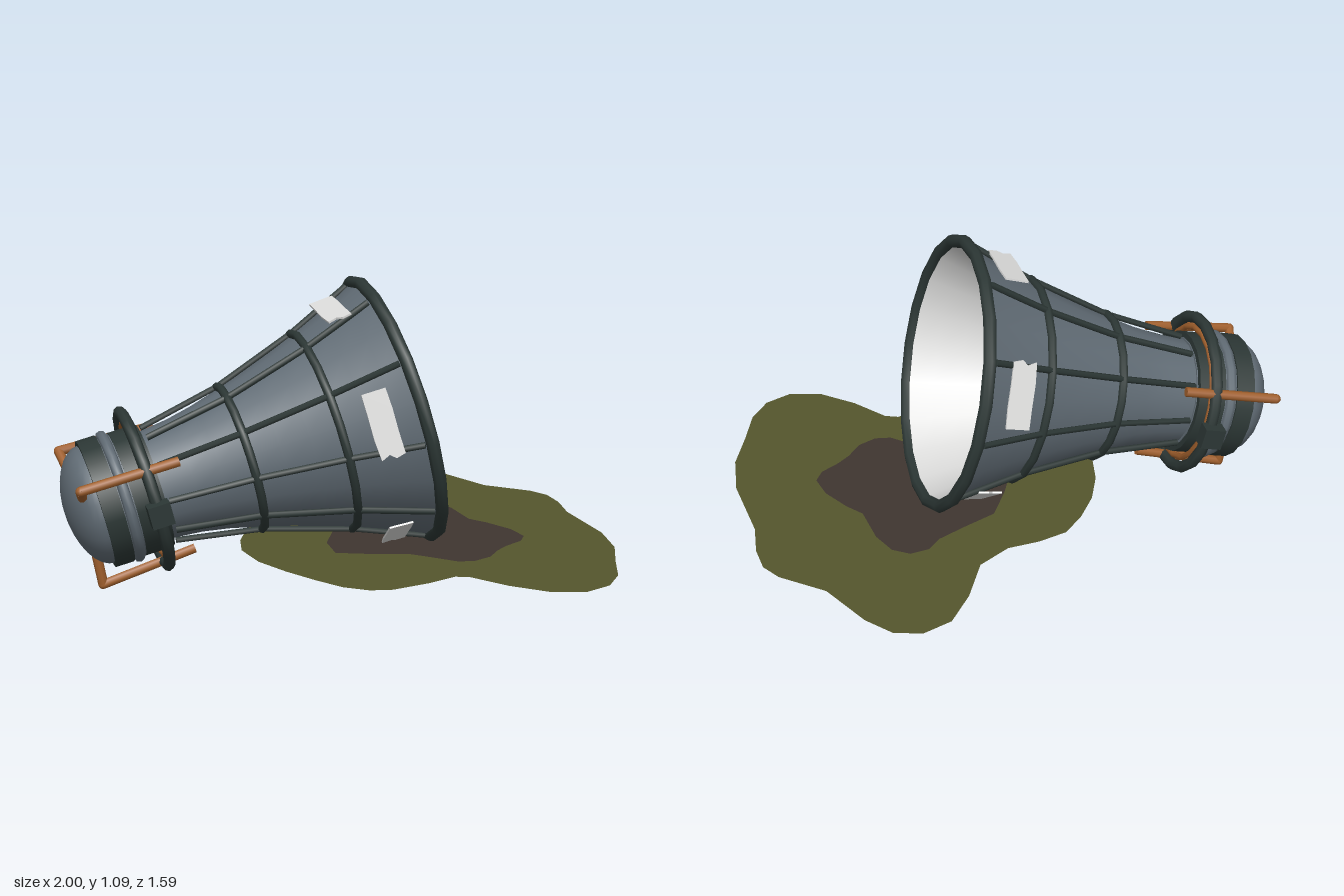
import * as THREE from 'three';

const mat = (name, color, side = THREE.FrontSide) => {
  const m = new THREE.MeshStandardMaterial({ color, side });
  m.name = name;
  return m;
};
const V2 = (x, y) => new THREE.Vector2(x, y);
const V3 = (x, y, z = 0) => new THREE.Vector3(x, y, z);
const DEG = Math.PI / 180;

export function createModel() {
  const steel = mat('steel', 0x616c75);
  const dark = mat('dark metal', 0x2c3735);
  const copper = mat('copper', 0xa05f2c);
  const pale = mat('pale coating', 0xdcdcdb);
  const moss = mat('olive ground', 0x55562d, THREE.DoubleSide);
  const soot = mat('scorched soil', 0x3f3630);

  const model = new THREE.Group();
  model.name = 'fallenNozzle';

  // Engine is built along +y (mouth centre at the origin), then tipped over
  const engine = new THREE.Group();
  engine.name = 'engine';
  engine.position.set(0.22, 0.595, 0.035);
  engine.rotation.z = -76 * DEG;
  model.add(engine);

  const add = (parent, name, geo, material) => {
    const mesh = new THREE.Mesh(geo, material);
    mesh.name = name;
    parent.add(mesh);
    return mesh;
  };
  // Pivot that turns parts built at +x around the engine axis
  const spoke = (name, angle) => {
    const g = new THREE.Group();
    g.name = name;
    g.rotation.y = angle * DEG;
    engine.add(g);
    return g;
  };
  const hoop = (name, y, r, tube, material = dark) => {
    const geo = new THREE.TorusGeometry(r, tube, 8, 20).rotateX(Math.PI / 2);
    add(engine, name, geo, material).position.y = y;
  };
  const rod = (parent, name, a, b, r, material, sides = 8) => {
    const d = b.clone().sub(a);
    const m = add(parent, name, new THREE.CylinderGeometry(r, r, d.length(), sides), material);
    m.position.copy(a).addScaledVector(d, 0.5);
    m.quaternion.setFromUnitVectors(V3(0, 1), d.normalize());
  };
  const band = (name, y0, y1, r, material) => {
    const m = add(engine, name, new THREE.CylinderGeometry(r, r, y1 - y0, 20), material);
    m.position.y = (y0 + y1) / 2;
  };

  // Flared bell with a pale lining
  const profile = [[0.198, -0.93], [0.212, -0.8], [0.232, -0.7], [0.262, -0.59],
    [0.293, -0.485], [0.328, -0.38], [0.366, -0.274], [0.404, -0.18], [0.444, -0.085], [0.485, 0]];
  add(engine, 'bell', new THREE.LatheGeometry(profile.map(([r, y]) => V2(r, y)), 20), steel);
  const lining = profile.map(([r, y]) => V2(r * 0.963, y)).reverse();
  add(engine, 'bellLining', new THREE.LatheGeometry(lining, 20), pale);
  const plate = add(engine, 'throatPlate', new THREE.CircleGeometry(0.195, 20).rotateX(-Math.PI / 2), dark);
  plate.position.y = -0.91;

  // Hoops and lengthwise ribs
  hoop('mouthRim', 0, 0.487, 0.024);
  hoop('wideHoop', -0.274, 0.373, 0.016);
  hoop('narrowHoop', -0.59, 0.27, 0.016);
  const ribPoints = [[0.211, -0.9], [0.27, -0.59], [0.373, -0.274], [0.479, -0.025]];
  for (let k = 0; k < 10; k++) {
    const g = spoke('rib', 90 + 36 * k);
    for (let i = 0; i < 3; i++) {
      rod(g, 'ribLength', V3(...ribPoints[i]), V3(...ribPoints[i + 1]), 0.012, dark, 6);
    }
  }

  // Chamber: core, flanges and domed cap
  band('chamberCore', -1.14, -0.912, 0.208, steel);
  band('rearFlange', -1.135, -1.065, 0.236, dark);
  band('flangeSeam', -1.065, -1.02, 0.228, steel);
  hoop('seamBead', -1.043, 0.226, 0.02, steel);
  band('frontFlange', -1.02, -0.915, 0.23, dark);
  const dome = new THREE.SphereGeometry(0.22, 20, 8, 0, Math.PI * 2, 0, Math.PI / 2)
    .scale(1, 0.54, 1).rotateX(Math.PI);
  add(engine, 'domedCap', dome, steel).position.y = -1.13;

  // Gimbal ring with a block on each side and a copper line inside it
  hoop('gimbalRing', -0.954, 0.288, 0.022);
  hoop('copperLine', -0.954, 0.25, 0.012, copper);
  for (const s of [1, -1]) {
    add(engine, 'gimbalBlock', new THREE.BoxGeometry(0.08, 0.08, 0.055), dark)
      .position.set(0, -0.954, s * 0.31);
  }

  // Three bent feed pipes
  for (let k = 0; k < 3; k++) {
    const g = spoke('feedPipe', 120 * k);
    const [a, b, c] = [V3(0.278, -0.835), V3(0.3, -1.19), V3(0.14, -1.18)];
    rod(g, 'pipeRun', a, b, 0.018, copper);
    rod(g, 'pipeReturn', b, c, 0.018, copper);
    add(g, 'pipeElbow', new THREE.SphereGeometry(0.018, 8, 6), copper).position.copy(b);
  }

  // Torn pale panels around the bell
  const torn = new THREE.Shape([[-0.115, -0.045], [-0.04, -0.045], [0.05, -0.047], [0.125, -0.042],
    [0.112, -0.01], [0.13, 0.01], [0.122, 0.045], [0.04, 0.044], [-0.04, 0.046], [-0.115, 0.043]]
    .map(p => V2(...p)));
  const panelGeo = new THREE.ExtrudeGeometry(torn, { depth: 0.007, bevelEnabled: false })
    .rotateY(Math.PI / 2);
  for (let k = 0; k < 5; k++) {
    const panel = add(spoke('tornPanel', -90 - (14 + 72 * k)), 'panelSheet', panelGeo, pale);
    panel.position.set(0.438, -0.14, 0);
    panel.rotation.z = -4 * DEG;
  }

  // Flat ground patch and scorch mark just under the rim, outlines as x, z
  const patch = (name, points, y, material) => {
    const shape = new THREE.Shape(points.map(([x, z]) => V2(x, -z)));
    add(model, name, new THREE.ShapeGeometry(shape).rotateX(-Math.PI / 2), material).position.y = y;
  };
  patch('groundPatch', [[0.5, -0.8], [0.6, -0.77], [0.68, -0.68], [0.78, -0.49], [0.93, -0.37],
    [0.975, -0.3], [0.985, -0.2], [0.97, -0.07], [1, 0.2], [0.98, 0.37], [0.92, 0.52],
    [0.87, 0.66], [0.8, 0.75], [0.7, 0.79], [0.58, 0.76], [0.46, 0.66], [0.36, 0.54],
    [0.31, 0.52], [0.2, 0.56], [0.06, 0.59], [-0.02, 0.575], [-0.1, 0.52], [-0.17, 0.43],
    [-0.25, 0.31], [-0.32, 0.18], [-0.35, 0.04], [-0.33, -0.07], [-0.28, -0.19], [-0.21, -0.29],
    [-0.13, -0.37], [-0.02, -0.4], [0.1, -0.41], [0.22, -0.48], [0.3, -0.64], [0.39, -0.76]],
  0.1, moss);
  patch('scorchMark', [[0.33, -0.3], [0.38, -0.35], [0.45, -0.36], [0.51, -0.32], [0.55, -0.23],
    [0.57, -0.08], [0.62, -0.02], [0.68, 0.08], [0.7, 0.17], [0.67, 0.22], [0.6, 0.26],
    [0.55, 0.3], [0.5, 0.36], [0.43, 0.39], [0.37, 0.38], [0.28, 0.3], [0.22, 0.25],
    [0.1, 0.22], [-0.03, 0.17], [-0.03, 0.05], [0.03, -0.08], [0.1, -0.2], [0.22, -0.25]],
  0.104, soot);

  return model;
}
